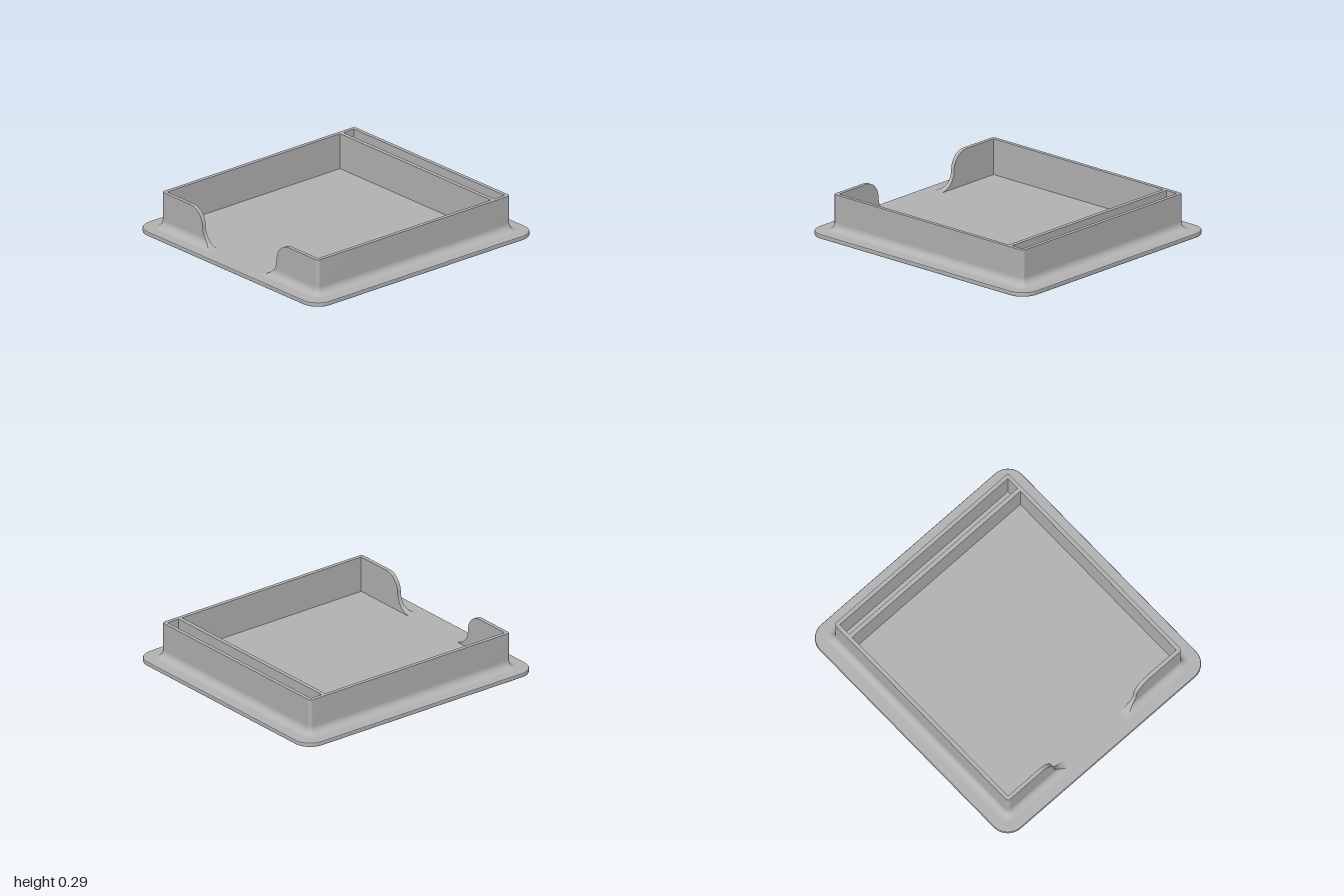
import * as THREE from 'three';
import { toCreasedNormals } from 'three/addons/utils/BufferGeometryUtils.js';

const BASE_H = 0.033, TOP = 0.29;
const W = 0.806, D = 0.871;        // outer half width and depth of the walls
const IN_W = 0.778, IN_D = 0.843;  // inner half width and depth
const FILLET = 0.055, CORNER = 0.022;

// Rounded plate with softened edges
function plateGeometry(w, d, r, height, bevel) {
  const s = new THREE.Shape();
  [[1, 1], [-1, 1], [-1, -1], [1, -1]].forEach(([sx, sy], i) =>
    s.absarc(sx * (w - r), sy * (d - r), r, i * Math.PI / 2, (i + 1) * Math.PI / 2, false));
  s.closePath();
  const g = new THREE.ExtrudeGeometry(s, {
    depth: height - 2 * bevel, curveSegments: 16,
    bevelThickness: bevel, bevelSize: bevel, bevelOffset: -bevel, bevelSegments: 2,
  });
  g.translate(0, 0, bevel);
  g.rotateX(-Math.PI / 2);
  return toCreasedNormals(g, 0.3);
}

// Half of the front opening: S-shaped rise from the base to the wall top, as [x, height]
function notchCurve() {
  const pts = [], steps = 12, xm = 0.382, ym = 0.166;
  const r1 = ym - BASE_H, r2 = TOP - ym;
  for (let i = 0; i <= steps; i++) {
    const a = i / steps * Math.PI / 2;
    pts.push([xm - r1 + r1 * Math.sin(a), ym - r1 * Math.cos(a)]);
  }
  for (let i = 1; i <= steps; i++) {
    const a = i / steps * Math.PI / 2;
    pts.push([xm + r2 - r2 * Math.cos(a), ym + r2 * Math.sin(a)]);
  }
  return pts;
}

// Outline of the wall from one side of the opening round to the other
function wallPath() {
  const notch = notchCurve(), path = [];
  notch.forEach(([x, h]) => path.push({ x, z: D, nx: 0, nz: 1, h }));
  [[1, 1], [1, -1], [-1, -1], [-1, 1]].forEach(([sx, sz], q) => {
    const add = (a, shift) => {
      const nx = Math.sin(a), nz = Math.cos(a);
      path.push({
        x: sx * (W - CORNER) + nx * CORNER + nz * shift,
        z: sz * (D - CORNER) + nz * CORNER - nx * shift, nx, nz, h: TOP,
      });
    };
    const a0 = q * Math.PI / 2;
    add(a0, -0.004);
    for (let i = 0; i <= 8; i++) add(a0 + i / 8 * Math.PI / 2, 0);
    add(a0 + Math.PI / 2, 0.004);
  });
  notch.reverse().forEach(([x, h]) => path.push({ x: -x, z: D, nx: 0, nz: 1, h }));
  return path;
}

// Wall cross-section (fillet, outer face, rim, inner face) swept along the outline
function wallGeometry() {
  const levels = [];
  for (let i = 0; i <= 8; i++) levels.push(BASE_H + FILLET * (1 - Math.cos(i / 8 * Math.PI / 2)));
  levels.push(BASE_H + FILLET + 0.004, TOP);
  const flare = y => {
    const k = Math.max(0, FILLET - (y - BASE_H));
    return FILLET - Math.sqrt(Math.max(0, FILLET * FILLET - k * k));
  };
  const clamp = THREE.MathUtils.clamp;
  const rings = wallPath().map(p => {
    const ring = levels.map(level => {
      const y = Math.min(level, p.h), o = flare(y);
      return new THREE.Vector3(p.x + p.nx * o, y, p.z + p.nz * o);
    });
    const ix = clamp(p.x, -IN_W, IN_W), iz = clamp(p.z, -IN_D, IN_D);
    ring.push(new THREE.Vector3(ix, p.h, iz), new THREE.Vector3(ix, BASE_H - 0.003, iz));
    return ring;
  });
  const pos = [];
  const tri = (a, b, c) => {
    if (new THREE.Triangle(a, b, c).getArea() < 1e-9) return;
    for (const v of [a, b, c]) pos.push(v.x, v.y, v.z);
  };
  for (let i = 0; i < rings.length - 1; i++) {
    const r = rings[i], s = rings[i + 1];
    for (let j = 0; j < r.length - 1; j++) {
      tri(r[j], s[j], s[j + 1]);
      tri(r[j], s[j + 1], r[j + 1]);
    }
  }
  const g = new THREE.BufferGeometry();
  g.setAttribute('position', new THREE.Float32BufferAttribute(pos, 3));
  g.computeVertexNormals();
  return toCreasedNormals(g, 0.5);
}

export function createModel() {
  const group = new THREE.Group();
  group.name = 'tray';
  const grey = new THREE.MeshStandardMaterial({ color: 0xb4b4b4 });
  grey.name = 'plain grey';
  const add = (name, geometry) => {
    const mesh = new THREE.Mesh(geometry, grey);
    mesh.name = name;
    group.add(mesh);
    return mesh;
  };

  add('basePlate', plateGeometry(0.935, 1, 0.13, BASE_H, 0.008));
  add('surroundingWall', wallGeometry());

  // Thin wall that closes off the narrow slot at the back
  const h = TOP - BASE_H + 0.003;
  add('slotDivider', new THREE.BoxGeometry(IN_W * 2, h, 0.03))
    .position.set(0, TOP - h / 2, -0.733);

  return group;
}
